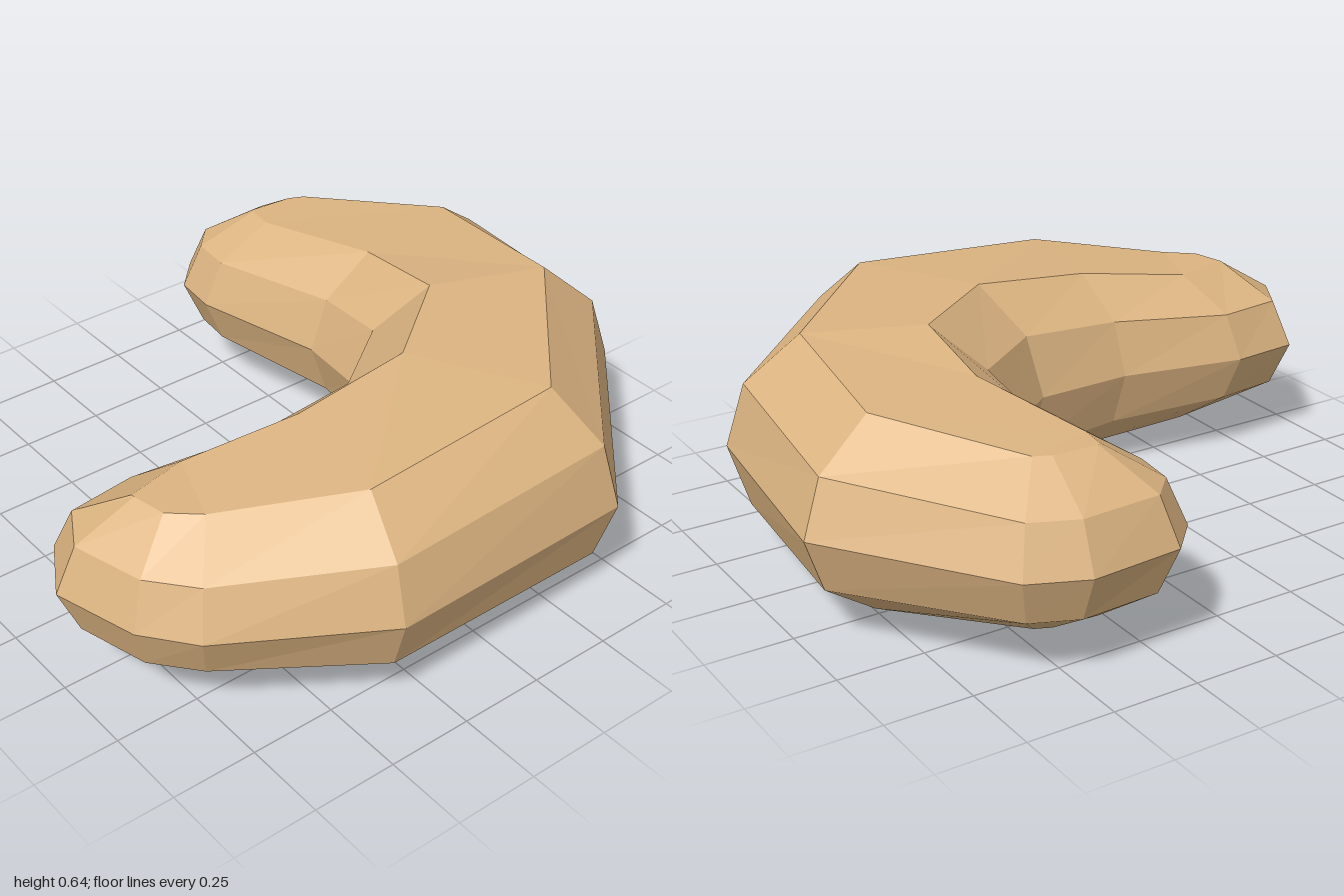
import * as THREE from 'three';

const MID = 0.322; // height of the horizontal symmetry plane

// One cross-section: half height, then [x, z] of the outer edge, outer ridge,
// inner ridge and inner edge. Shoulders are set a quarter of the way in from each
// edge, and the lower half mirrors the upper, giving a ten-sided ring.
function makeRing(half, outer, outerRidge, innerRidge, inner) {
  const at = ([x, z], rise) => new THREE.Vector3(x, MID + half * rise, z);
  const shoulder = (edge, ridge) => edge.map((v, i) => v + (ridge[i] - v) * 0.26);
  const outerShoulder = shoulder(outer, outerRidge);
  const innerShoulder = shoulder(inner, innerRidge);
  return [
    at(outer, 0), at(outerShoulder, 0.57), at(outerRidge, 1),
    at(innerRidge, 1), at(innerShoulder, 0.57), at(inner, 0),
    at(innerShoulder, -0.57), at(innerRidge, -1),
    at(outerRidge, -1), at(outerShoulder, -0.57),
  ];
}

// A tip is a section pinched shut, both sides meeting
const makeTip = (half, edge, ridge) => makeRing(half, edge, ridge, ridge, edge);

// Skin between successive rings; separate triangles give flat facets
function loft(rings) {
  const points = [];
  const addTriangle = (a, b, c) => {
    if (new THREE.Triangle(a, b, c).getArea() > 1e-6) points.push(a, b, c);
  };
  for (let i = 0; i < rings.length - 1; i++) {
    for (let j = 0; j < 10; j++) {
      const k = (j + 1) % 10;
      const a = rings[i][j], b = rings[i][k];
      const c = rings[i + 1][k], d = rings[i + 1][j];
      addTriangle(a, d, c);
      addTriangle(a, c, b);
    }
  }
  const geometry = new THREE.BufferGeometry().setFromPoints(points);
  geometry.computeVertexNormals();
  return geometry;
}

export function createModel() {
  const group = new THREE.Group();
  const tan = new THREE.MeshStandardMaterial({ color: 0xdcb481 });
  tan.name = 'tan';

  // From the left tip, round the thick bend, to the rear tip
  const body = new THREE.Mesh(loft([
    makeTip(0.24, [-1, 0.25], [-0.78, 0.3]),
    makeRing(0.24, [-0.93, 0.5], [-0.76, 0.4], [-0.78, 0.29], [-0.9, 0.08]),
    makeRing(0.24, [-0.82, 0.64], [-0.68, 0.47], [-0.6, 0.25], [-0.69, 0.06]),
    makeRing(0.285, [-0.385, 0.9], [-0.33, 0.69], [-0.27, 0.32], [-0.31, 0.14]),
    makeRing(0.322, [0.39, 0.88], [0.3, 0.68], [0.1, 0.31], [-0.01, 0.13]),
    makeRing(0.322, [0.92, 0.31], [0.72, 0.22], [0.39, 0.09], [0.2, -0.02]),
    makeRing(0.28, [1, -0.35], [0.78, -0.29], [0.42, -0.22], [0.22, -0.24]),
    makeRing(0.24, [0.66, -0.84], [0.525, -0.67], [0.33, -0.61], [0.12, -0.65]),
    makeRing(0.24, [0.5, -0.91], [0.48, -0.69], [0.34, -0.69], [0.135, -0.79]),
    makeTip(0.24, [0.23, -0.89], [0.35, -0.7]),
  ]), tan);
  body.name = 'curvedBody';
  group.add(body);
  return group;
}
